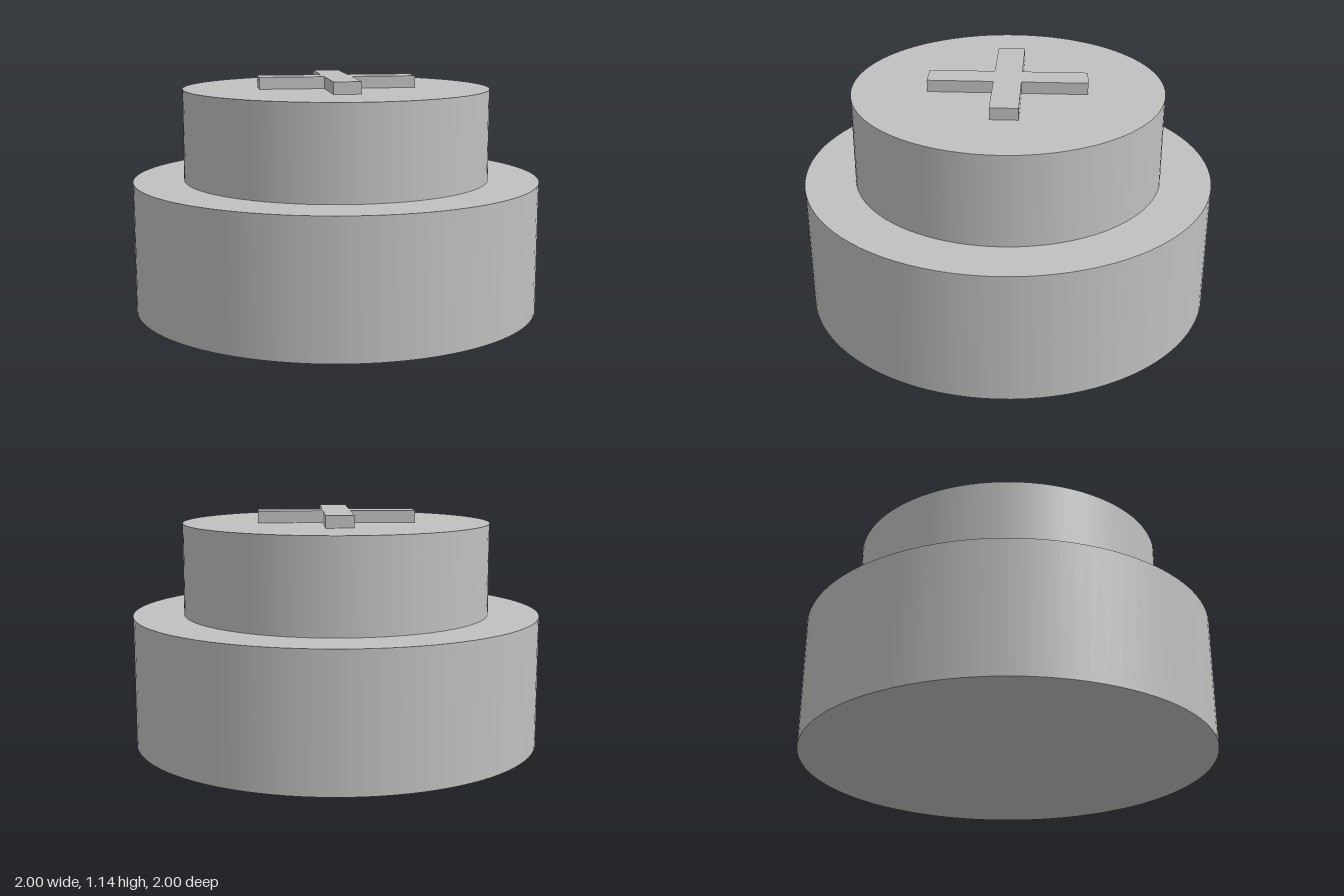
import * as THREE from 'three';

export function createModel() {
  const group = new THREE.Group();
  const grey = new THREE.MeshStandardMaterial({ color: 0xc0c0c0 });
  grey.name = 'light grey';

  const add = (name, geometry, y) => {
    const mesh = new THREE.Mesh(geometry, grey);
    mesh.name = name;
    mesh.position.y = y;
    group.add(mesh);
  };

  // Two stacked round tiers
  const baseTop = 0.64, studTop = 1.086, crossTop = 1.144;
  const tier = (name, radius, bottom, top) =>
    add(name, new THREE.CylinderGeometry(radius, radius, top - bottom, 96), (bottom + top) / 2);
  tier('base', 1, 0, baseTop);
  tier('stud', 0.752, baseTop, studTop);

  // Raised cross: one arm corner outline turned through four quarters
  const reach = 0.383, half = 0.067;
  const points = [];
  for (let i = 0; i < 4; i++) {
    for (const [x, y] of [[reach, -half], [reach, half], [half, half]]) {
      points.push(new THREE.Vector2(x, y).rotateAround(new THREE.Vector2(), i * Math.PI / 2));
    }
  }
  const cross = new THREE.ExtrudeGeometry(new THREE.Shape(points), {
    depth: crossTop - studTop, bevelEnabled: false,
  });
  cross.rotateX(-Math.PI / 2);
  add('raisedCross', cross, studTop);

  return group;
}
